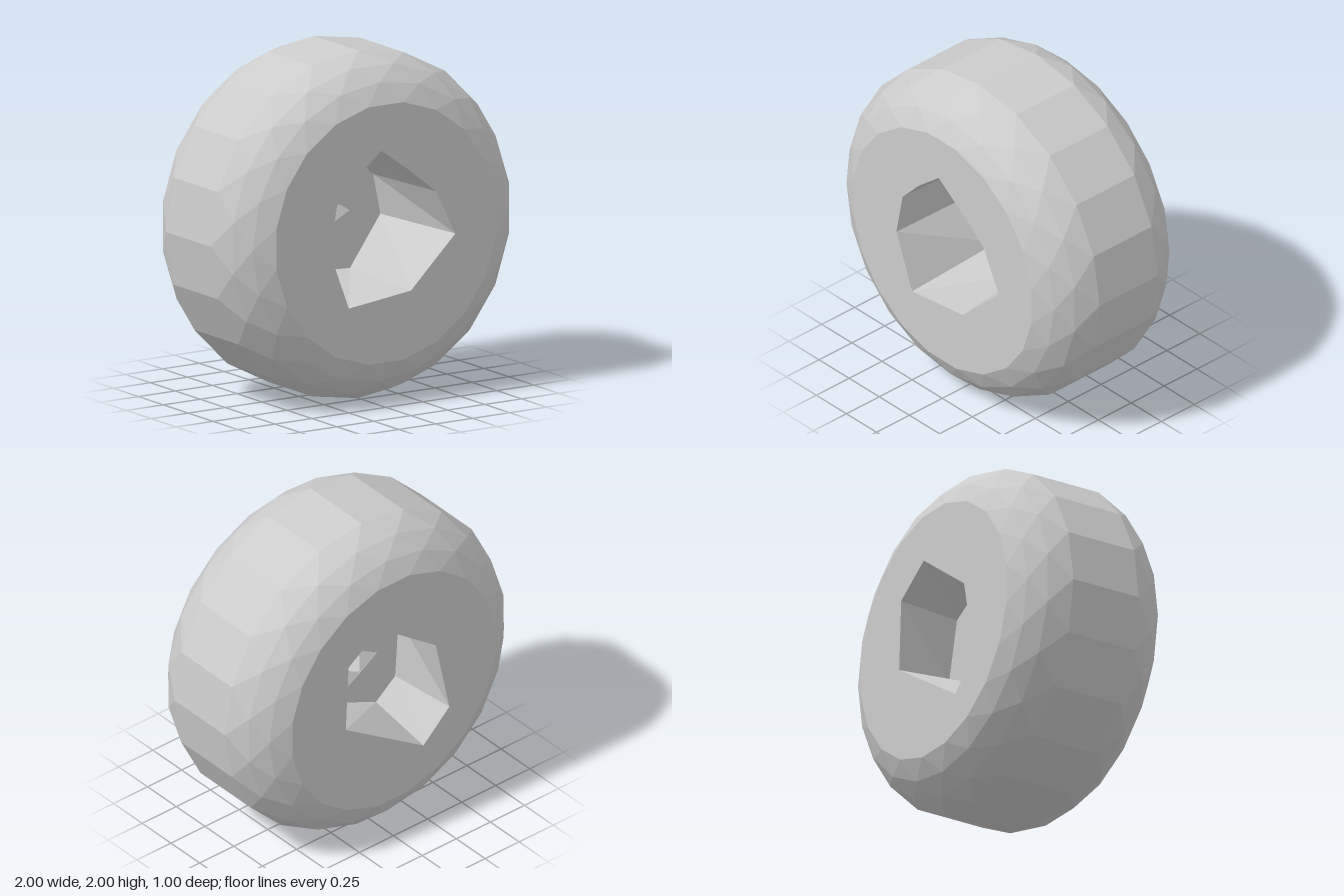
import * as THREE from 'three';

const SIDES = 20;
const material = new THREE.MeshStandardMaterial({ color: 0xcccccc, flatShading: true });

// Places 2D outline points at depth z
const at = (points, z) => points.map(([x, y]) => new THREE.Vector3(x, y, z));

// Regular ring of points, turned by half steps
function ring(radius, halfSteps) {
  return Array.from({ length: SIDES }, (_, i) => {
    const a = ((i + halfSteps / 2) / SIDES) * Math.PI * 2;
    return [radius * Math.cos(a), radius * Math.sin(a)];
  });
}

// Pulls an outline onto a circle, keeping its directions
const toCircle = (points, r) => points.map(([x, y]) => {
  const k = r / Math.hypot(x, y);
  return [x * k, y * k];
});

// Band of triangles between two equal rings; faces outward when a lies in front of b
function band(a, b) {
  const n = a.length;
  const index = [];
  for (let i = 0; i < n; i++) {
    const j = (i + 1) % n;
    index.push(i, n + i, j, j, n + i, n + j);
  }
  const g = new THREE.BufferGeometry().setFromPoints([...a, ...b]);
  g.setIndex(index);
  g.computeVertexNormals();
  return g;
}

// Flat plate with a hole, facing front or back
function plate(outline, hole, z, facesBack) {
  const v2 = (p) => p.map(([x, y]) => new THREE.Vector2(x, y));
  const shape = new THREE.Shape(v2(outline));
  shape.holes.push(new THREE.Path(v2(hole)));
  const g = new THREE.ShapeGeometry(shape);
  if (facesBack) {
    g.index.array.reverse();
    g.computeVertexNormals();
  }
  return g.translate(0, 0, z);
}

export function createModel() {
  const wheel = new THREE.Group();
  wheel.name = 'wheel';
  const add = (name, geometry) => {
    const mesh = new THREE.Mesh(geometry, material);
    mesh.name = name;
    mesh.position.y = 1;
    wheel.add(mesh);
  };

  // Tyre profile: radius, z, turn in half steps
  const profile = [
    [0.75, 0.5, 1], [0.86, 0.44, 2], [0.945, 0.35, 3], [1, 0.22, 4],
    [1, -0.22, 4], [0.945, -0.35, 5], [0.86, -0.44, 6], [0.75, -0.5, 7],
  ];
  const tyre = new THREE.Group();
  const rings = profile.map(([r, z, turn]) => at(ring(r, turn), z));
  for (let i = 0; i < rings.length - 1; i++) {
    add(i === 3 ? 'tread' : `tyreShoulder${i}`, band(rings[i], rings[i + 1]));
  }

  // Uneven openings of the front and back recesses
  const frontOpening = [
    [0.47, -0.06], [0.34, 0.2], [0.15, 0.35], [-0.03, 0.48], [-0.2, 0.34],
    [-0.33, 0.2], [-0.38, -0.06], [-0.25, -0.4], [0.17, -0.35],
  ];
  const backOpening = [
    [0.35, -0.11], [0.33, 0.31], [0.1, 0.47], [-0.31, 0.17], [-0.41, -0.3], [-0.22, -0.48],
  ];
  const frontFloor = toCircle(frontOpening, 0.37);
  const backFloor = toCircle(backOpening, 0.36);
  const FRONT_Z = -0.1;
  const BACK_Z = -0.17;

  // Side walls
  add('frontSidewall', plate(ring(0.75, 1), frontOpening, 0.5, false));
  add('backSidewall', plate(ring(0.75, 7), backOpening, -0.5, true));

  // Recess walls
  add('frontRecess', band(at(frontFloor, FRONT_Z), at(frontOpening, 0.5)));
  add('backRecess', band(at(backOpening, -0.5), at(backFloor, BACK_Z)));

  // Hub web with a twisted three-sided axle hole
  const frontHole = [[0.16, 0], [-0.08, 0.15], [-0.09, -0.13]];
  const backHole = [[0.06, -0.13], [0.07, 0.14], [-0.16, 0.01]];
  add('frontHub', plate(frontFloor, frontHole, FRONT_Z, false));
  add('backHub', plate(backFloor, backHole, BACK_Z, true));
  add('axleHole', band(at(backHole, BACK_Z), at(frontHole, FRONT_Z)));

  return wheel;
}
